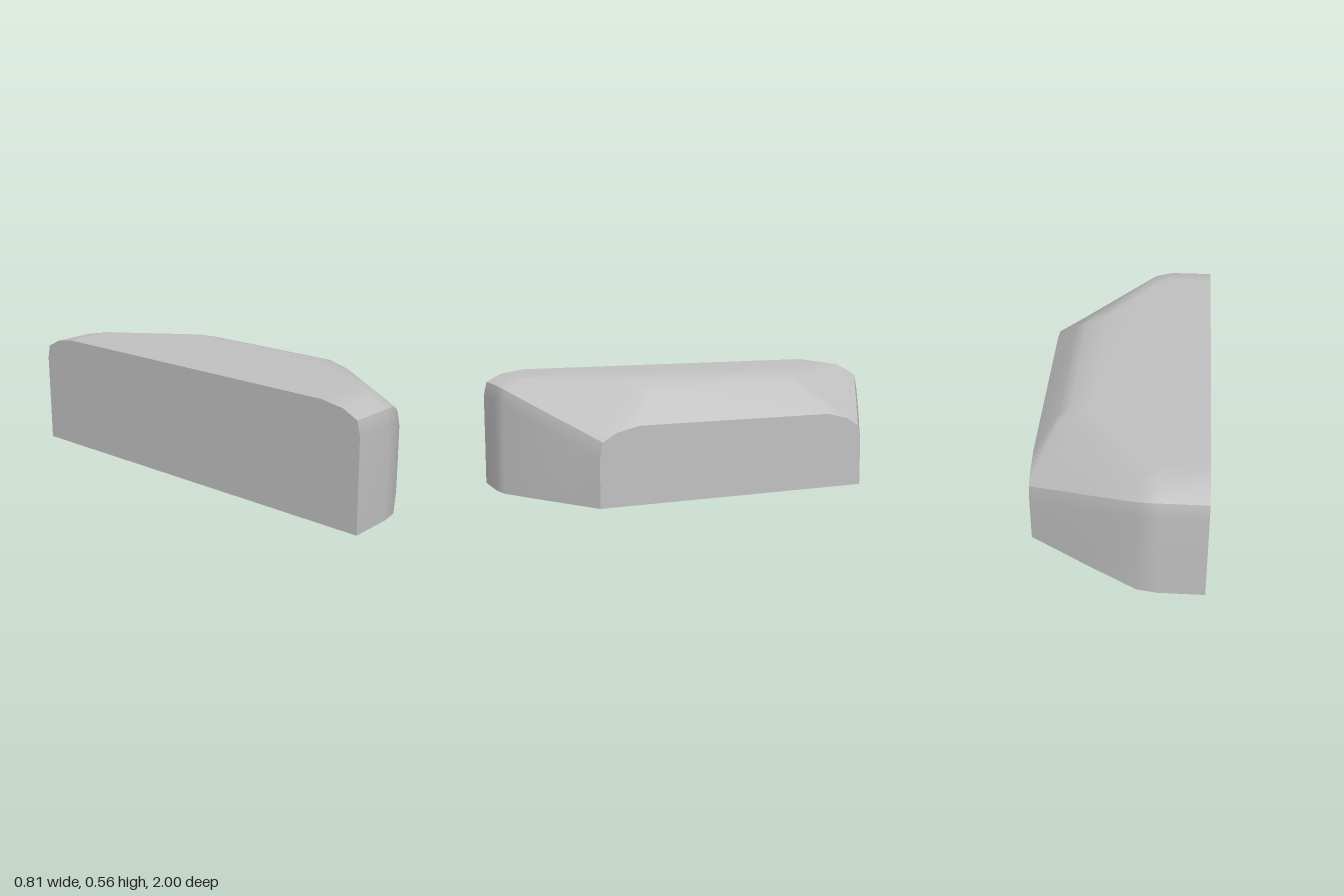
import * as THREE from 'three';

// Half sections along x, each listing [z, y] from the base up to the flat top:
// base, shoulder, rim, bevel, crown
const STATIONS = [
  [-0.405, [[1, 0], [1, 0.44], [0.985, 0.507], [0.91, 0.545], [0.8, 0.5625]]],
  [-0.19, [[1, 0], [1, 0.44], [0.985, 0.507], [0.91, 0.545], [0.8, 0.5625]]],
  [-0.1, [[0.985, 0], [0.982, 0.425], [0.966, 0.492], [0.86, 0.545], [0.73, 0.5625]]],
  [0.13, [[0.85, 0], [0.846, 0.335], [0.83, 0.403], [0.56, 0.535], [0.4, 0.5625]]],
  [0.235, [[0.785, 0], [0.783, 0.29], [0.767, 0.363], [0.456, 0.515], [0.37, 0.535]]],
  [0.295, [[0.748, 0], [0.746, 0.265], [0.731, 0.34], [0.44, 0.487], [0.38, 0.497]]],
  [0.405, [[0.68, 0], [0.68, 0.22], [0.665, 0.297], [0.6, 0.336], [0.49, 0.362]]],
];

// Full mirrored sections running from the +z base over the top to the -z base
const SECTIONS = STATIONS.map(([x, half]) => [
  ...half.map(([z, y]) => [x, y, z]),
  ...half.slice().reverse().map(([z, y]) => [x, y, -z]),
]);

// Smooth skin through the chosen columns of every section
function skin(columns) {
  const n = columns.length;
  const positions = SECTIONS.flatMap((s) => columns.flatMap((c) => s[c]));
  const index = [];
  for (let i = 0; i < SECTIONS.length - 1; i++) {
    for (let j = 0; j < n - 1; j++) {
      const a = i * n + j, b = a + n;
      index.push(a, b, b + 1, a, b + 1, a + 1);
    }
  }
  return surface(positions, index);
}

// Flat convex end cap
function cap(outline) {
  const index = [];
  for (let i = 1; i < outline.length - 1; i++) index.push(0, i, i + 1);
  return surface(outline.flat(), index);
}

function surface(positions, index) {
  const geo = new THREE.BufferGeometry();
  geo.setAttribute('position', new THREE.Float32BufferAttribute(positions, 3));
  geo.setIndex(index);
  geo.computeVertexNormals();
  return geo;
}

export function createModel() {
  const grey = new THREE.MeshStandardMaterial({ color: 0xc0c0c0 });
  grey.name = 'plain grey';

  const model = new THREE.Group();
  model.name = 'bevelledBlock';
  const add = (name, geometry) => {
    const mesh = new THREE.Mesh(geometry, grey);
    mesh.name = name;
    model.add(mesh);
  };

  // Sloping top with its bevelled rim
  add('top', skin([2, 3, 4, 5, 6, 7]));
  // Side walls, bending inward toward the narrow end
  add('frontWall', skin([0, 1, 2]));
  add('backWall', skin([7, 8, 9]));
  // Flat faces
  add('base', skin([9, 0]));
  add('wideEnd', cap(SECTIONS[0]));
  add('narrowEnd', cap(SECTIONS[SECTIONS.length - 1].slice().reverse()));
  return model;
}
